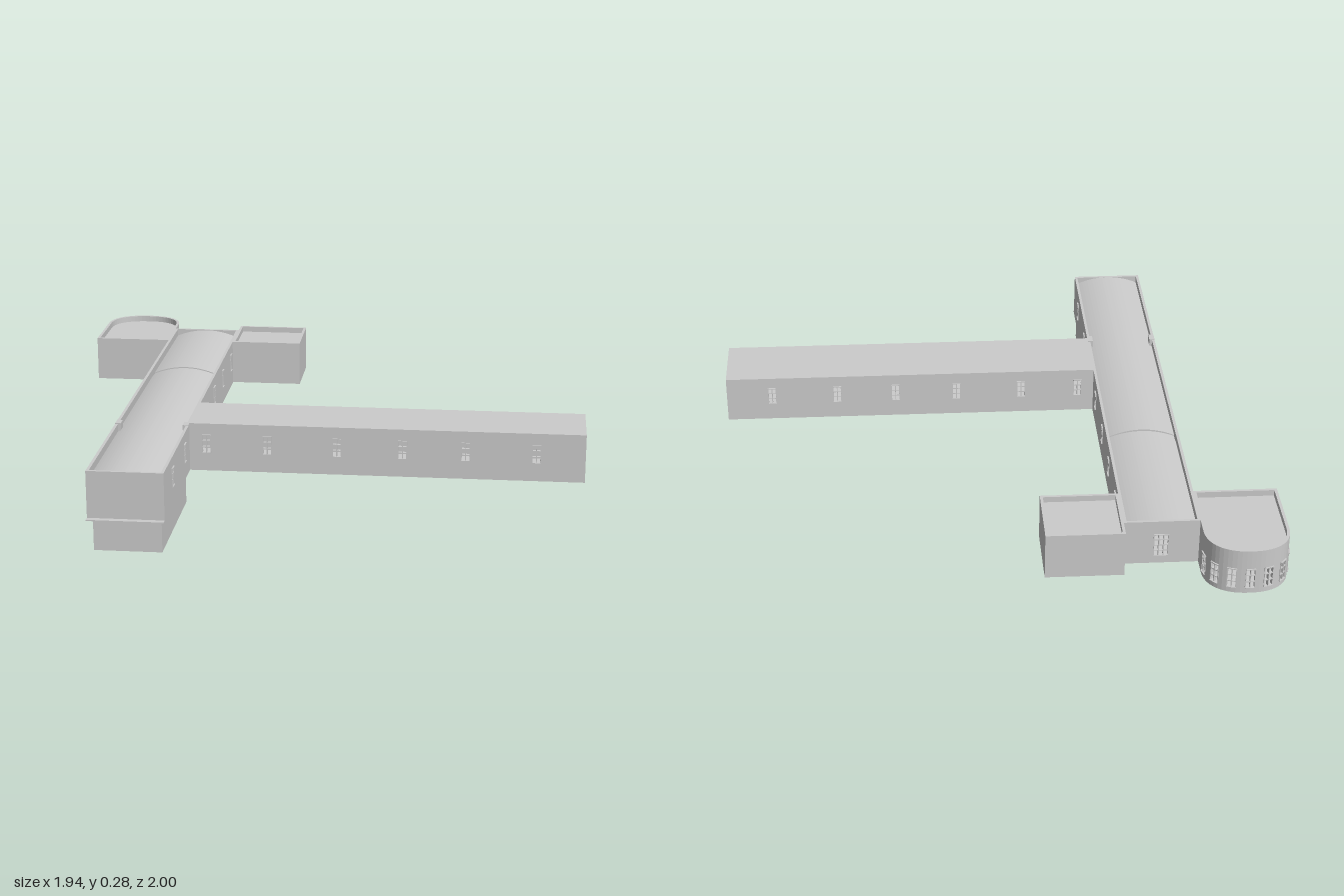
import * as THREE from 'three';
import { mergeGeometries } from 'three/addons/utils/BufferGeometryUtils.js';

const BASE = 0.113, TOP = 0.277, T = 0.01;
const grey = new THREE.MeshStandardMaterial({ color: 0xcccccc, flatShading: true, side: THREE.DoubleSide });

function mesh(name, geometry) {
  const m = new THREE.Mesh(geometry, grey);
  m.name = name;
  return m;
}

// Box given by its limits on each axis
function boxGeo(x0, x1, y0, y1, z0, z1) {
  return new THREE.BoxGeometry(x1 - x0, y1 - y0, z1 - z0)
    .translate((x0 + x1) / 2, (y0 + y1) / 2, (z0 + z1) / 2);
}
const box = (name, ...limits) => mesh(name, boxGeo(...limits));

// Window frame with glazing bars, in the plane of a wall
function windowFrame({ s, w, y0, y1, cols, rows }) {
  const b = 0.003, parts = [];
  for (let i = 0; i <= cols; i++) {
    const x = s - w / 2 + (w * i) / cols;
    parts.push(boxGeo(x - b / 2, x + b / 2, y0, y1, -T, 0.002));
  }
  for (let j = 0; j <= rows; j++) {
    const y = y0 + ((y1 - y0) * j) / rows;
    const out = j === 0 || j === rows ? 0.005 : 0.002;
    parts.push(boxGeo(s - w / 2, s + w / 2, y - b / 2, y + b / 2, -T, out));
  }
  return mesh('windowFrame', mergeGeometries(parts));
}

// Upright wall from p to q ([x, z], anticlockwise seen from above), outer face on that line
function wall(name, p, q, y0, y1, windows = []) {
  const dx = q[0] - p[0], dz = q[1] - p[1], len = Math.hypot(dx, dz);
  const shape = new THREE.Shape([[0, y0], [len, y0], [len, y1], [0, y1]].map(c => new THREE.Vector2(...c)));
  for (const { s, w, y0: a, y1: b } of windows) {
    shape.holes.push(new THREE.Path([[s - w / 2, a], [s - w / 2, b], [s + w / 2, b], [s + w / 2, a]]
      .map(c => new THREE.Vector2(...c))));
  }
  const g = new THREE.Group();
  g.name = name;
  g.add(mesh(name + 'Panel', new THREE.ExtrudeGeometry(shape, { depth: T, bevelEnabled: false }).translate(0, 0, -T)));
  windows.forEach(o => g.add(windowFrame(o)));
  g.position.set(p[0], 0, p[1]);
  g.rotation.y = Math.atan2(-dz, dx);
  return g;
}

const smallWindow = s => ({ s, w: 0.03, y0: 0.175, y1: 0.24, cols: 2, rows: 3 });

// Shallow barrel vault running along z, spanning the hall
function vault(name, z0, z1, spring, crown) {
  const x0 = -0.67, x1 = -0.43, n = 24, shape = new THREE.Shape();
  shape.moveTo(x0, spring - 0.005);
  for (let i = 0; i <= n; i++) {
    const t = i / n;
    shape.lineTo(x0 + (x1 - x0) * t, spring + (crown - spring) * 4 * t * (1 - t));
  }
  shape.lineTo(x1, spring - 0.005);
  return mesh(name, new THREE.ExtrudeGeometry(shape, { depth: z1 - z0, bevelEnabled: false }).translate(0, 0, z0));
}

function buildHall() {
  const g = new THREE.Group();
  g.name = 'mainHall';
  const l = -0.68, r = -0.42, f = 0.98, b = -0.81;
  const eastZ = [0.81, 0.56, 0.11, -0.13, -0.35, -0.57], westZ = [0.81, 0.56, 0.24, -0.08, -0.36];
  g.add(
    wall('hallFrontWall', [l, f], [r, f], BASE, TOP),
    wall('hallLeftWall', [r, f], [r, b], BASE, TOP, eastZ.map(z => smallWindow(f - z))),
    wall('hallBackWall', [r, b], [l, b], BASE, TOP, [{ s: 0.13, w: 0.05, y0: 0.14, y1: 0.225, cols: 3, rows: 4 }]),
    wall('hallRightWall', [l, b], [l, f], BASE, TOP, westZ.map(z => smallWindow(z - b))),
    box('hallFloorSlab', l, r, BASE - 0.004, BASE, b, 1),
    vault('frontVault', -0.22, f - T, 0.25, 0.277),
    vault('vaultJoint', -0.26, -0.22, 0.246, 0.271),
    vault('backVault', b + T, -0.26, 0.25, 0.275)
  );
  for (const x of [l, r - 0.02]) g.add(box('parapetBlock', x, x + 0.02, 0.25, 0.28, 0.435, 0.475));
  return g;
}

function buildWing() {
  const g = new THREE.Group();
  g.name = 'sideWing';
  const l = -0.42, r = 0.965, f = 0.455, b = 0.21;
  const xs = [-0.36, -0.145, 0.1, 0.33, 0.55, 0.795];
  g.add(
    wall('wingFrontWall', [l, f], [r, f], BASE, 0.274, xs.map(x => smallWindow(x - l))),
    wall('wingEndWall', [r, f], [r, b], BASE, 0.274),
    wall('wingBackWall', [r, b], [l, b], BASE, 0.274, xs.map(x => smallWindow(r - x))),
    box('wingFloor', l, r, BASE - 0.004, BASE, b, f),
    box('wingRoof', l, r, 0.274, 0.282, b, f)
  );
  return g;
}

function buildSquarePavilion() {
  const g = new THREE.Group();
  g.name = 'squarePavilion';
  const c = [[-0.42, -0.63], [-0.15, -0.63], [-0.15, -0.875], [-0.42, -0.875]];
  c.forEach((p, i) => g.add(wall('pavilionWall', p, c[(i + 1) % 4], BASE, TOP)));
  g.add(
    box('pavilionFloor', -0.42, -0.15, BASE - 0.004, BASE, -0.875, -0.63),
    box('pavilionRoof', -0.415, -0.155, 0.25, 0.256, -0.87, -0.635)
  );
  return g;
}

function buildRoundPavilion() {
  const g = new THREE.Group();
  g.name = 'roundPavilion';
  const cx = -0.825, half = 0.145, zc = -0.87, front = -0.63, bays = 7;
  // Flattened half-round back, spaced evenly into window bays of four strips
  const pts = [];
  for (let i = 0; i <= 24; i++) {
    const a = (Math.PI * i) / 24, c = Math.cos(a), s = Math.max(0, Math.sin(a));
    pts.push(new THREE.Vector3(cx + half * Math.sign(c) * Math.abs(c) ** 0.88, 0, zc - 0.13 * s ** 0.88));
  }
  const arc = new THREE.CatmullRomCurve3(pts).getSpacedPoints(bays * 4).map(p => [p.x, p.z]);
  for (let i = 0; i < bays * 4; i++) {
    const p = arc[i], q = arc[i + 1], k = i % 4;
    if (k === 1 || k === 2) {
      const len = Math.hypot(q[0] - p[0], q[1] - p[1]);
      g.add(wall('sillStrip', p, q, BASE, 0.13), wall('lintelStrip', p, q, 0.205, TOP));
      const frame = windowFrame({ s: len / 2, w: len, y0: 0.13, y1: 0.205, cols: 1, rows: 3 });
      frame.position.set(p[0], 0, p[1]);
      frame.rotation.y = Math.atan2(p[1] - q[1], q[0] - p[0]);
      g.add(frame);
    } else g.add(wall('pierStrip', p, q, BASE, TOP));
  }
  const fl = [cx - half, front], fr = [cx + half, front];
  g.add(
    wall('roundPavilionFront', fl, fr, BASE, TOP),
    wall('roundPavilionLeft', fr, arc[0], BASE, TOP),
    wall('roundPavilionRight', arc[bays * 4], fl, BASE, TOP)
  );
  // Floor and sunken roof share the plan outline
  const plan = new THREE.Shape([fl, fr, ...arc].map(([x, z]) => new THREE.Vector2(x, -z)));
  for (const [name, y, d] of [['roundPavilionFloor', BASE - 0.004, 0.004], ['roundPavilionRoof', 0.25, 0.005]]) {
    g.add(mesh(name, new THREE.ExtrudeGeometry(plan, { depth: d, bevelEnabled: false })
      .rotateX(-Math.PI / 2).translate(0, y, 0)));
  }
  return g;
}

export function createModel() {
  const model = new THREE.Group();
  model.name = 'building';
  model.add(
    buildHall(), buildWing(), buildSquarePavilion(), buildRoundPavilion(),
    box('basement', -0.66, -0.43, 0, BASE - 0.004, 0.49, 0.98),
    box('basementBay', -0.685, -0.66, 0, BASE - 0.004, 0.49, 0.63)
  );
  return model;
}
